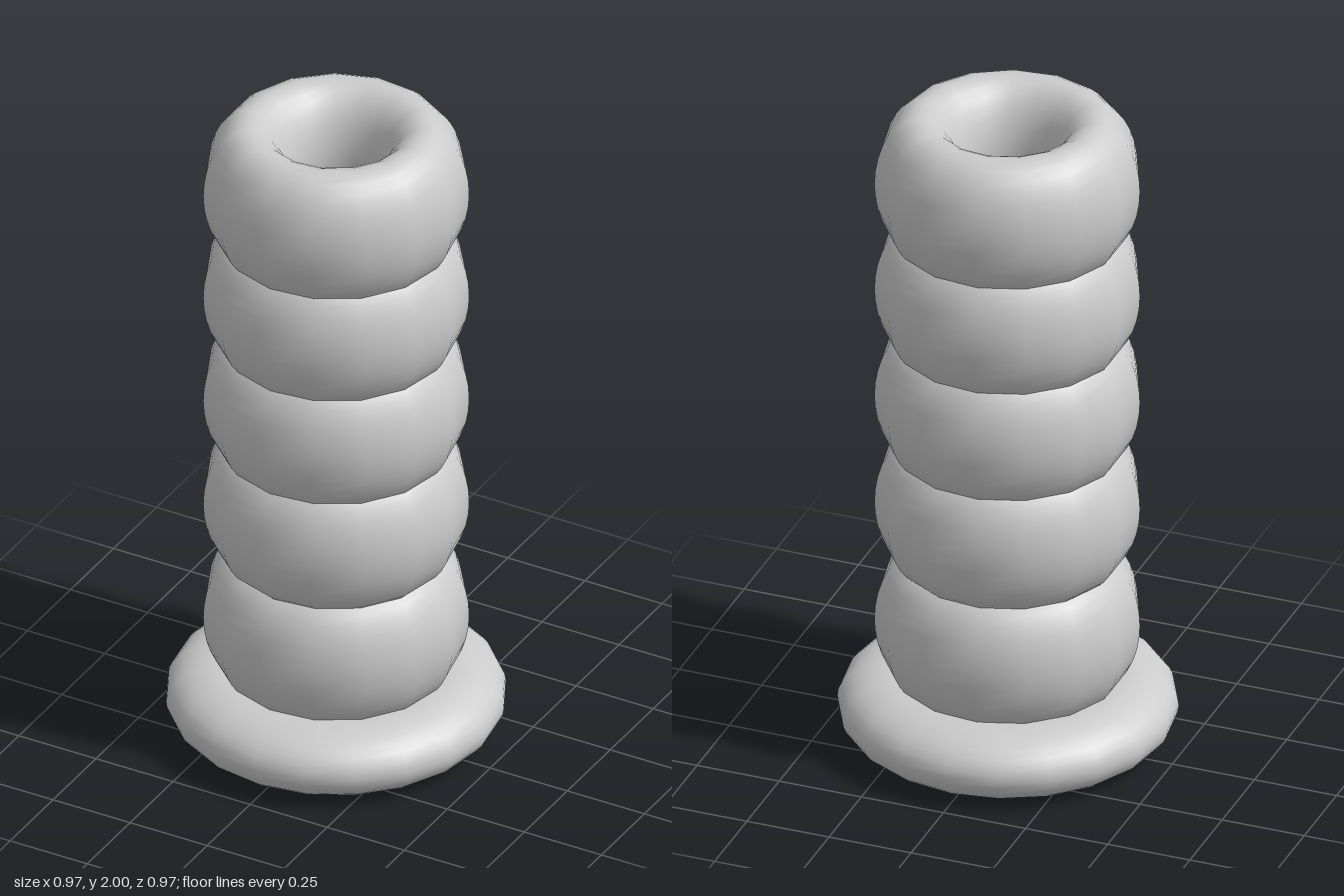
import * as THREE from 'three';

const material = new THREE.MeshStandardMaterial({ color: 0xcccccc });

// Torus lying flat, with an elliptical section: rx across, ry up
function ring(name, y, radius, rx, ry, sides) {
  const geometry = new THREE.TorusGeometry(radius, rx, 32, sides);
  geometry.rotateX(Math.PI / 2);
  geometry.scale(1, ry / rx, 1);
  const mesh = new THREE.Mesh(geometry, material);
  mesh.name = name;
  mesh.position.y = y;
  return mesh;
}

export function createModel() {
  const model = new THREE.Group();
  model.name = 'ringedGrip';

  // Wide flat flange at the foot
  model.add(ring('baseFlange', 0.105, 0.328, 0.157, 0.105, 20));

  // Stack of overlapping tall rings
  [0.38, 0.76, 1.105, 1.45, 1.79].forEach((y, i) => {
    model.add(ring(`gripRing${i + 1}`, y, 0.254, 0.125, 0.21, 15));
  });

  return model;
}
